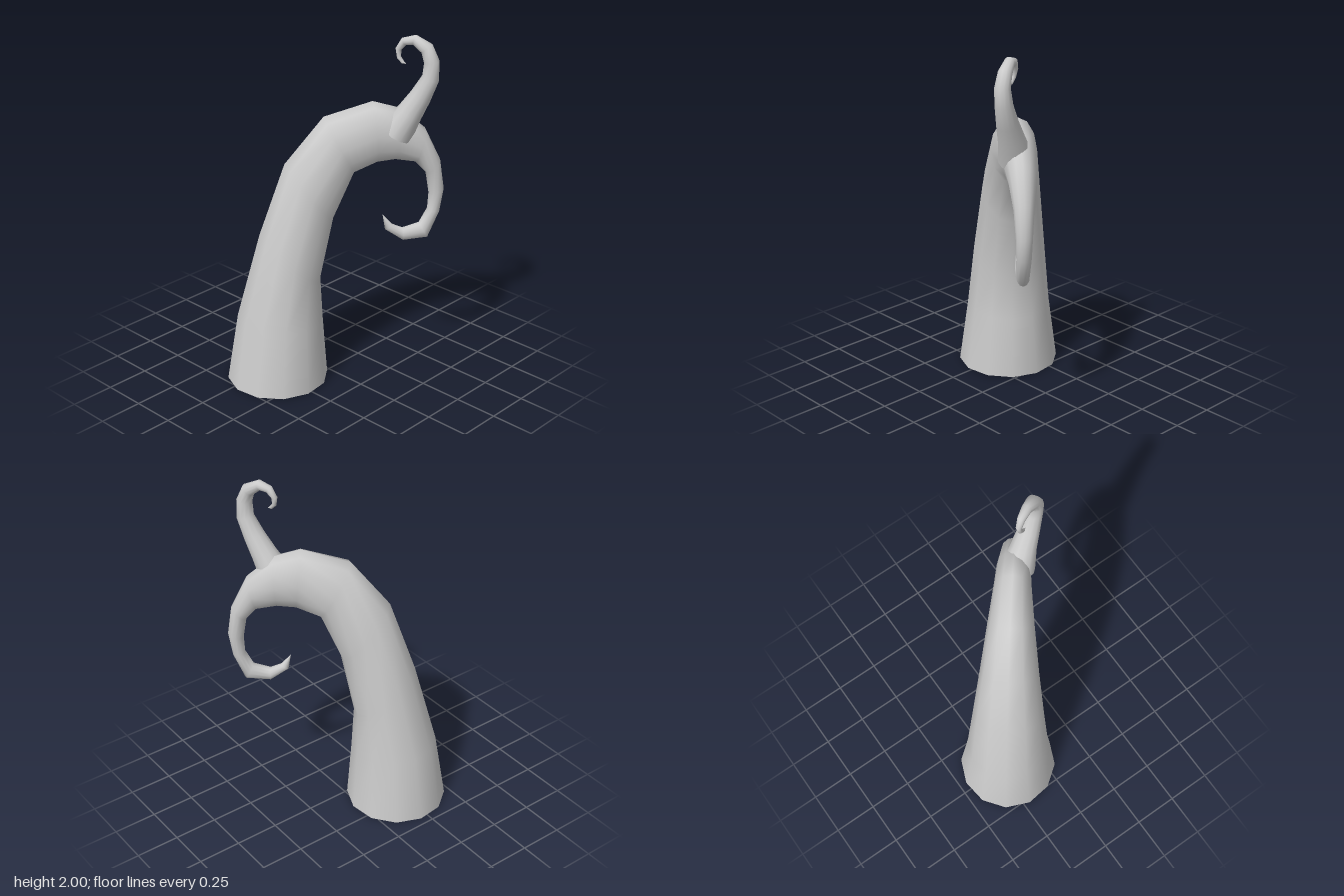
import * as THREE from 'three';

const SIDES = 12;
const V = (x, y, z) => new THREE.Vector3(x, y, z);

// Skin a closed loop of SIDES points over elliptical rings { c, u, v }
function loft(name, rings) {
  const pos = [], index = [];
  rings.forEach(({ c, u, v }, i) => {
    for (let j = 0; j < SIDES; j++) {
      const a = (j / SIDES) * Math.PI * 2;
      const p = c.clone().addScaledVector(u, Math.cos(a)).addScaledVector(v, Math.sin(a));
      pos.push(p.x, p.y, p.z);
      if (i === rings.length - 1) continue;
      const k = (j + 1) % SIDES;
      const p0 = i * SIDES + j, p1 = i * SIDES + k;
      index.push(p0, p1, p1 + SIDES, p0, p1 + SIDES, p0 + SIDES);
    }
  });
  const geo = new THREE.BufferGeometry();
  geo.setAttribute('position', new THREE.Float32BufferAttribute(pos, 3));
  geo.setIndex(index);
  geo.computeVertexNormals();
  const mesh = new THREE.Mesh(geo, new THREE.MeshStandardMaterial({ color: 0xcccccc, side: THREE.DoubleSide }));
  mesh.name = name;
  return mesh;
}

// Main tentacle: bends in one upright diagonal plane, flattened towards the tip
function tentacle() {
  const base = V(-0.175, 0, 0.24);
  const along = V(0.615, 0, -0.788), across = V(0.788, 0, 0.615);
  // outer edge (s, y), inner edge (s, y), half width across the plane
  const sections = [
    [-0.285, 0, 0.285, 0, 0.285],
    [-0.22, 0.40, 0.26, 0.35, 0.235],
    [-0.09, 0.88, 0.247, 0.60, 0.20],
    [0.053, 1.29, 0.32, 0.96, 0.16],
    [0.266, 1.55, 0.434, 1.225, 0.125],
    [0.53, 1.625, 0.56, 1.275, 0.10],
    [0.68, 1.58, 0.66, 1.285, 0.09],
    [0.82, 1.46, 0.77, 1.265, 0.072],
    [0.91, 1.27, 0.83, 1.20, 0.053],
    [0.935, 1.10, 0.85, 1.08, 0.044],
    [0.915, 0.97, 0.845, 0.98, 0.04],
    [0.85, 0.81, 0.80, 0.90, 0.036],
    [0.71, 0.80, 0.71, 0.873, 0.032],
    [0.61, 0.87, 0.65, 0.90, 0.02],
    [0.595, 0.96, 0.596, 0.961, 0.001],
  ];
  const at = (s, y) => base.clone().addScaledVector(along, s).setY(y);
  return loft('tentacle', sections.map(([so, yo, si, yi, w]) => {
    const outer = at(so, yo), inner = at(si, yi);
    return {
      c: outer.clone().add(inner).multiplyScalar(0.5),
      u: outer.clone().sub(inner).multiplyScalar(0.5),
      v: across.clone().multiplyScalar(w),
    };
  }));
}

// Small curling shoot that grows out of the bend
function shoot() {
  const n = V(0.42, 0, 0.91).normalize();
  // centre x, y, z and radius
  const path = [
    [0.25, 1.45, -0.265, 0.092],
    [0.31, 1.57, -0.30, 0.07],
    [0.36, 1.665, -0.325, 0.058],
    [0.405, 1.77, -0.348, 0.047],
    [0.412, 1.86, -0.345, 0.042],
    [0.385, 1.93, -0.335, 0.037],
    [0.325, 1.971, -0.305, 0.028],
    [0.275, 1.958, -0.28, 0.022],
    [0.25, 1.915, -0.265, 0.016],
    [0.258, 1.872, -0.262, 0.012],
    [0.28, 1.847, -0.268, 0.009],
    [0.297, 1.842, -0.275, 0.001],
  ];
  const pts = path.map(([x, y, z]) => V(x, y, z));
  return loft('curledShoot', path.map(([, , , r], i) => {
    const t = pts[Math.min(i + 1, pts.length - 1)].clone().sub(pts[Math.max(i - 1, 0)]);
    return {
      c: pts[i],
      u: n.clone().cross(t).normalize().multiplyScalar(r),
      v: n.clone().multiplyScalar(r),
    };
  }));
}

export function createModel() {
  const group = new THREE.Group();
  group.name = 'curledTentacle';
  group.add(tentacle(), shoot());
  return group;
}
